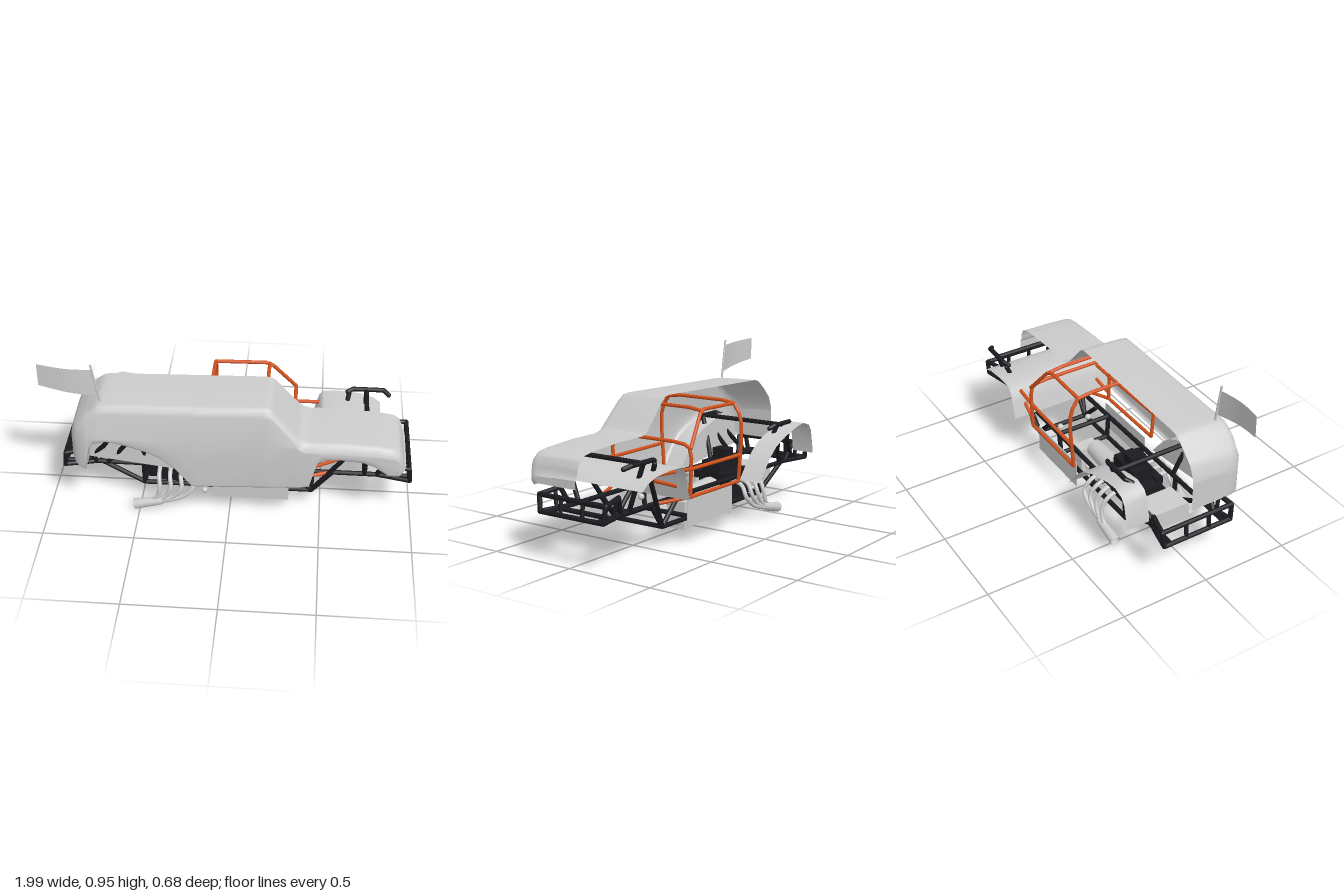
import * as THREE from 'three';

const grey = new THREE.MeshStandardMaterial({ color: 0xcccccc });
const sheet = new THREE.MeshStandardMaterial({ color: 0xcccccc, side: THREE.DoubleSide });
const black = new THREE.MeshStandardMaterial({ color: 0x1b1b20 });
const orange = new THREE.MeshStandardMaterial({ color: 0xd2521c });
const V = (p) => new THREE.Vector3(...p);

export function createModel() {
  const root = new THREE.Group();
  const add = (name, geo, mat, parent = root) => {
    const m = new THREE.Mesh(geo, mat);
    m.name = name;
    parent.add(m);
    return m;
  };
  const box = (name, x0, x1, y0, y1, z0, z1, mat) =>
    add(name, new THREE.BoxGeometry(x1 - x0, y1 - y0, z1 - z0), mat)
      .position.set((x0 + x1) / 2, (y0 + y1) / 2, (z0 + z1) / 2);
  const rod = (name, a, b, r, mat, parent = root, r2 = r, open = false) => {
    const A = V(a), B = V(b), d = B.clone().sub(A);
    const m = add(name, new THREE.CylinderGeometry(r2, r, d.length(), 12, 1, open), mat, parent);
    m.position.copy(A).add(B).multiplyScalar(0.5);
    m.quaternion.setFromUnitVectors(new THREE.Vector3(0, 1, 0), d.normalize());
    return m;
  };
  // Bent bar: straight rods with ball joints
  const bar = (name, pts, r, mat) => {
    const g = new THREE.Group();
    g.name = name;
    pts.forEach((p, i) => {
      if (i) rod(name + 'Rod', pts[i - 1], p, r, mat, g);
      add(name + 'Joint', new THREE.SphereGeometry(r, 10, 6), mat, g).position.set(...p);
    });
    root.add(g);
  };
  const both = (fn) => [1, -1].forEach(fn);
  // Grid surface from rows of points
  const loft = (name, rows, mat) => {
    const n = rows[0].length, idx = [];
    for (let i = 0; i < rows.length - 1; i++)
      for (let j = 0; j < n - 1; j++) {
        const a = i * n + j, b = a + n;
        idx.push(a, a + 1, b, b, a + 1, b + 1);
      }
    const g = new THREE.BufferGeometry();
    g.setAttribute('position', new THREE.Float32BufferAttribute(rows.flat(2), 3));
    g.setIndex(idx);
    g.computeVertexNormals();
    return add(name, g, mat);
  };
  const lerpTable = (t, x) => {
    for (let i = 1; i < t.length; i++)
      if (x <= t[i][0]) {
        const [a, b] = [t[i - 1], t[i]];
        return a[1] + (b[1] - a[1]) * Math.max(0, (x - a[0]) / (b[0] - a[0]));
      }
    return t[t.length - 1][1];
  };

  // Half body shell: sections along x, arches cut by the bottom profile
  const rearArch = [[-0.77, 0.325], [-0.765, 0.37], [-0.745, 0.465], [-0.72, 0.5], [-0.66, 0.52], [-0.59, 0.51],
    [-0.52, 0.49], [-0.43, 0.46], [-0.36, 0.425], [-0.3, 0.375], [-0.25, 0.315], [-0.2, 0.25]];
  const frontArch = [[0.435, 0.28], [0.455, 0.37], [0.475, 0.44], [0.5, 0.465], [0.6, 0.467], [0.715, 0.455],
    [0.78, 0.43], [0.82, 0.4]];
  const bottom = [[-0.85, 0.36], [-0.82, 0.335], ...rearArch, [-0.17, 0.245], [0.38, 0.27], ...frontArch,
    [0.85, 0.375], [0.91, 0.367], [0.945, 0.39]];
  const top = [[-0.85, 0.53], [-0.845, 0.56], [-0.82, 0.62], [-0.77, 0.672], [-0.71, 0.722], [-0.69, 0.734], [-0.66, 0.74],
    [-0.2, 0.752], [0.18, 0.762], [0.21, 0.758], [0.235, 0.742], [0.36, 0.602], [0.385, 0.582], [0.42, 0.572],
    [0.6, 0.572], [0.8, 0.56], [0.875, 0.548], [0.905, 0.528], [0.922, 0.495], [0.93, 0.455], [0.945, 0.435]];
  const width = [[-0.85, 0.23], [-0.845, 0.265], [-0.83, 0.295], [-0.8, 0.322], [-0.76, 0.335], [-0.7, 0.34],
    [0.4, 0.34], [0.6, 0.335], [0.85, 0.332], [0.9, 0.325], [0.925, 0.31], [0.94, 0.285], [0.945, 0.265]];
  const xs = [...new Set([...bottom, ...top, ...width].map((p) => p[0]))].sort((a, b) => a - b);
  const section = (x) => {
    const T = lerpTable(top, x), B = lerpTable(bottom, x), W = lerpTable(width, x);
    const Z = W - Math.max(0, T - 0.55) * 0.14;
    const h = Math.min(0.055, (T - B) * 0.6), belt = Math.min(0.55, T - h - 0.004);
    const low = Math.min(0.02, (belt - B) * 0.4);
    return [[0, T], [Z * 0.5, T - 0.003], [Z - 0.045, T - 0.01], [Z - 0.022, T - h * 0.3], [Z - 0.007, T - h * 0.6],
      [Z, T - h], [W, belt], [W, (belt + B + low) / 2], [W, B + low], [W - 0.008, B + 0.005], [W - 0.02, B]]
      .map(([z, y]) => [x, y, z]);
  };
  const rows = xs.map(section);
  loft('bodyShell', rows, sheet);
  const flat = (r) => r.map(([x, y]) => [x, y, 0]);
  loft('tailPanel', [flat(rows[0]), rows[0]], sheet);
  loft('nosePanel', [rows[rows.length - 1], flat(rows[rows.length - 1])], sheet);

  // Wheel arch liners and inner rear wall
  const strip = (name, pts, z0, z1) =>
    loft(name, pts.map(([x, y]) => [[x, y, z0], [x, y, z1]]), sheet);
  both((s) => {
    strip('rearArchLiner', rearArch, s * 0.205, s * (s > 0 ? 0.325 : 0.34));
    strip('frontArchLiner', frontArch, 0, s * 0.32);
  });
  add('rearWheelWall', new THREE.ShapeGeometry(new THREE.Shape(rearArch.map((p) => new THREE.Vector2(...p)))), sheet)
    .position.z = 0.205;

  // Black chassis
  const R = 0.013;
  both((s) => {
    bar('upperRail', [[-0.91, 0.26, s * 0.165], [0.98, 0.26, s * 0.165]], R, black);
    bar('lowerRail', [[-0.72, 0.26, s * 0.155], [-0.48, 0.12, s * 0.155], [0.45, 0.12, s * 0.155],
      [0.62, 0.4, s * 0.215], [0.64, 0.5, s * 0.255]], R, black);
    bar('railBrace', [[0.32, 0.25, s * 0.155], [0.45, 0.12, s * 0.155], [0.56, 0.26, s * 0.165]], R, black);
    bar('frontShockHoop', [[0.63, 0.515, s * 0.245], [0.66, 0.525, s * 0.26], [0.83, 0.525, s * 0.26],
      [0.86, 0.51, s * 0.235]], R, black);
    bar('frontHoopLeg', [[0.735, 0.525, s * 0.26], [0.735, 0.36, s * 0.2], [0.735, 0.26, s * 0.165]], R, black);
    bar('rearShockHoop', [[-0.66, 0.51, s * 0.235], [-0.63, 0.525, s * 0.26], [-0.47, 0.525, s * 0.26],
      [-0.44, 0.51, s * 0.245]], R, black);
    bar('rearHoopLeg', [[-0.62, 0.525, s * 0.26], [-0.69, 0.4, s * 0.21], [-0.82, 0.26, s * 0.165]], R, black);
    bar('rearHoopLeg', [[-0.5, 0.525, s * 0.26], [-0.465, 0.34, s * 0.19], [-0.45, 0.26, s * 0.165]], R, black);
    bar('rearHoopBrace', [[-0.54, 0.47, s * 0.24], [-0.62, 0.34, s * 0.19], [-0.68, 0.26, s * 0.165]], R, black);
    for (const x of [-0.48, -0.15, 0.2])
      bar('railPost', [[x, 0.12, s * 0.155], [x, 0.26, s * 0.165]], R, black);
    // Bumper frame sides, front and rear
    for (const [e, i, b] of [[0.98, 0.88, 0.8], [-0.91, -0.82, -0.74]]) {
      bar('bumperSide', [[b, 0.26, s * 0.165], [e, 0.26, s * 0.205], [e * 0.99, 0.345, s * 0.215],
        [i * 0.96, 0.36, s * 0.19], [b, 0.26, s * 0.165]], R, black);
      bar('bumperPost', [[e, 0.26, s * 0.07], [e * 0.99, 0.345, s * 0.07]], 0.011, black);
      bar('bumperPost', [[i, 0.26, s * 0.185], [i * 0.99, 0.355, s * 0.2]], 0.011, black);
    }
  });
  // Cross members: x, y, half width
  for (const [x, y, w] of [[0.98, 0.26, 0.205], [0.97, 0.345, 0.215], [0.88, 0.26, 0.185], [-0.91, 0.26, 0.205],
    [-0.9, 0.345, 0.215], [-0.82, 0.26, 0.185], [0.735, 0.52, 0.26], [-0.54, 0.52, 0.26], [0.45, 0.12, 0.155],
    [-0.48, 0.12, 0.155], [0.2, 0.26, 0.165], [0.2, 0.12, 0.155], [-0.15, 0.12, 0.155], [0.735, 0.26, 0.165]])
    bar('crossMember', [[x, y, -w], [x, y, w]], R, black);

  // Orange roll cage
  const C = 0.01;
  const arch = (x, pts) => [...pts.map(([z, y]) => [x, y, -z]), ...pts.slice().reverse().map(([z, y]) => [x, y, z])];
  bar('mainHoop', arch(-0.11, [[0.255, 0.27], [0.272, 0.5], [0.27, 0.6], [0.255, 0.65], [0.22, 0.7], [0.14, 0.71]]), C, orange);
  bar('dashHoop', arch(0.34, [[0.255, 0.27], [0.262, 0.48], [0.25, 0.53], [0.22, 0.545], [0.15, 0.552]]), C, orange);
  bar('roofCrossBar', [[0.19, 0.7, -0.22], [0.19, 0.71, -0.14], [0.19, 0.71, 0.14], [0.19, 0.7, 0.22]], C, orange);
  both((s) => {
    bar('roofRail', [[-0.11, 0.7, s * 0.22], [0.17, 0.705, s * 0.22], [0.21, 0.685, s * 0.225],
      [0.34, 0.53, s * 0.26]], C, orange);
    bar('doorSill', [[-0.11, 0.27, s * 0.255], [0.34, 0.27, s * 0.255], [0.55, 0.26, s * 0.165]], C, orange);
    bar('doorBar', [[-0.11, 0.42, s * 0.268], [0.34, 0.42, s * 0.262], [0.47, 0.43, s * 0.255],
      [0.65, 0.43, s * 0.215]], C, orange);
    bar('frontStrut', [[0.65, 0.42, s * 0.215], [0.34, 0.31, s * 0.255]], C, orange);
  });

  // Engine, driveline and tanks
  box('engineBlock', -0.48, -0.21, 0.1, 0.25, -0.08, 0.08, black);
  box('oilPan', -0.42, -0.22, 0.06, 0.1, -0.06, 0.06, black);
  both((s) => box('valveCover', -0.45, -0.19, 0.23, 0.27, s * 0.08 - 0.022, s * 0.08 + 0.022, black));
  box('blower', -0.41, -0.21, 0.25, 0.33, -0.06, 0.06, black);
  box('airScoop', -0.37, -0.29, 0.33, 0.39, -0.045, 0.045, black);
  rod('transmission', [-0.21, 0.17, 0], [0.09, 0.17, 0], 0.07, grey, root, 0.05);
  add('flywheelRing', new THREE.TorusGeometry(0.055, 0.012, 8, 24), grey).position.set(-0.19, 0.17, 0);
  root.children[root.children.length - 1].rotation.y = Math.PI / 2;
  box('transferCase', 0.085, 0.165, 0.025, 0.18, -0.09, 0.03, grey);
  box('fuelTank', -0.68, -0.52, 0.15, 0.25, -0.105, 0.105, grey);
  const ball = (x, y, z) => add('mountBall', new THREE.SphereGeometry(0.018, 16, 10), grey).position.set(x, y, z);
  ball(0.07, 0.07, -0.055);
  ball(0.178, 0.07, -0.055);
  both((s) => {
    ball(-0.145, 0.085, s * 0.16);
    ball(0.31, 0.215, s * 0.093);
    box('sidePanel', -0.09, 0.325, 0.1, 0.26, s * 0.225 - 0.002, s * 0.225 + 0.002, grey);
    // Exhaust headers running into a collector
    for (let i = 0; i < 4; i++) {
      const x = -0.39 + i * 0.06, e = -0.41 + i * 0.018;
      const path = new THREE.CatmullRomCurve3([[x, 0.23, s * 0.08], [x, 0.238, s * 0.16], [x, 0.215, s * 0.215],
        [x + 0.005, 0.16, s * 0.245], [x * 0.6 + e * 0.4, 0.1, s * 0.25], [e - 0.02, 0.062, s * 0.25]].map(V));
      add('headerPipe', new THREE.TubeGeometry(path, 28, 0.012, 10), grey);
    }
    rod('exhaustCollector', [-0.37, 0.07, s * 0.25], [-0.53, 0.034, s * 0.25], 0.022, sheet, root, 0.03, true);
  });

  // Flag on a pole
  rod('flagPole', [-0.68, 0.73, 0.248], [-0.716, 0.955, 0.248], 0.006, grey);
  loft('flag', Array.from({ length: 13 }, (_, i) => {
    const t = i / 12, z = 0.248 + 0.014 * Math.sin(t * Math.PI * 1.1);
    return [[-0.714 - 0.286 * t, 0.925 + 0.018 * t, z], [-0.692 - 0.308 * t, 0.765 + 0.05 * t, z + 0.004]];
  }), sheet);
  return root;
}
